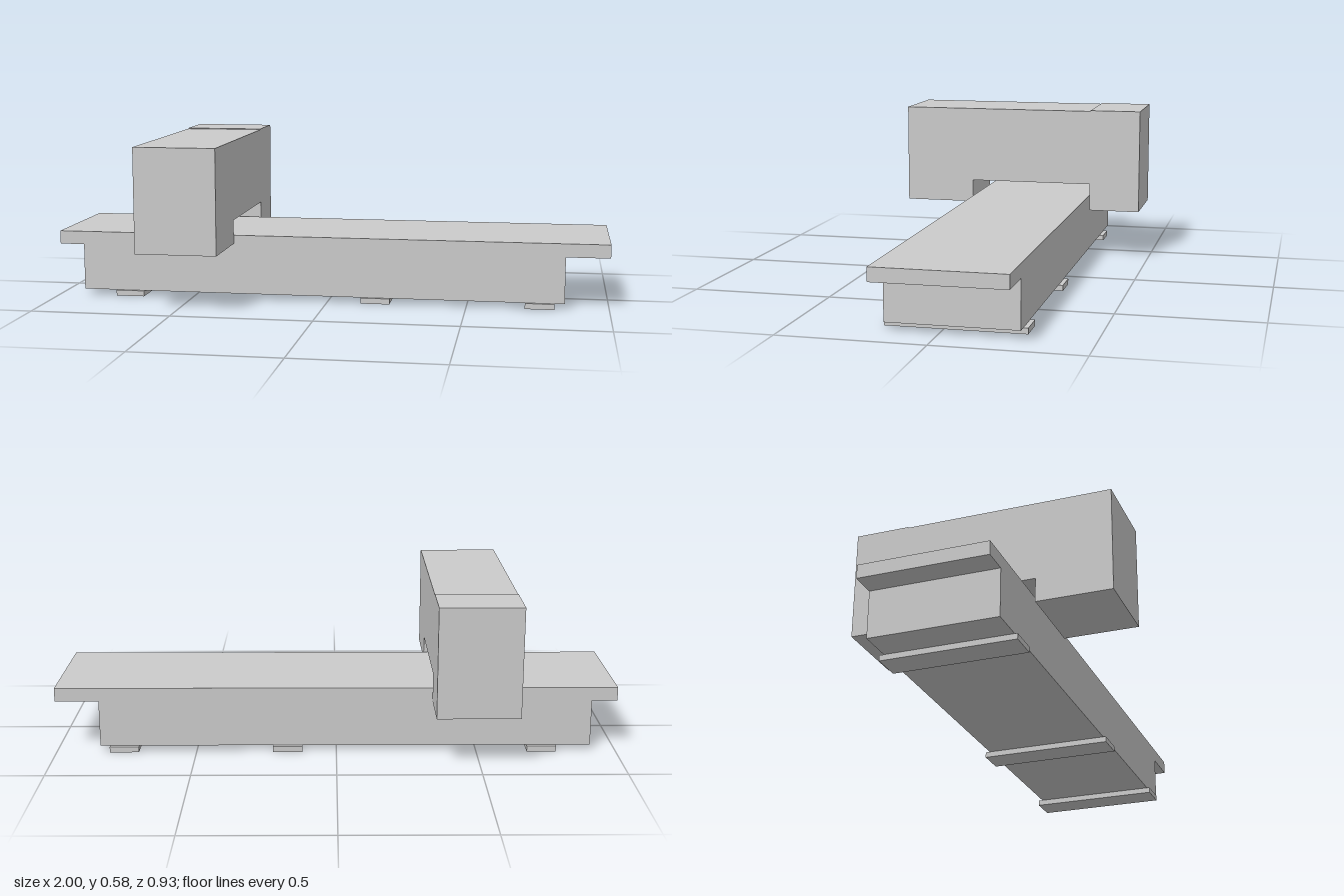
import * as THREE from 'three';

export function createModel() {
  const model = new THREE.Group();
  const material = new THREE.MeshStandardMaterial({ color: 0xcccccc, flatShading: true });

  // Box given by its limits along each axis
  const block = (name, [x0, x1], [y0, y1], [z0, z1]) => {
    const mesh = new THREE.Mesh(new THREE.BoxGeometry(x1 - x0, y1 - y0, z1 - z0), material);
    mesh.position.set((x0 + x1) / 2, (y0 + y1) / 2, (z0 + z1) / 2);
    mesh.name = name;
    model.add(mesh);
  };

  // Bed: overhanging table top on a shorter base
  const bedDepth = [-0.259, 0.189];
  block('tableTop', [-1, 1], [0.187, 0.235], bedDepth);
  block('base', [-0.91, 0.845], [0.02, 0.187], bedDepth);

  // Cross bars under the base
  for (const x of [-0.734, 0.174, 0.758]) {
    block('footBar', [x - 0.052, x + 0.052], [0, 0.02], [-0.275, 0.199]);
  }

  // Gantry: front leg and bridge as one profile (z, y), extruded along x
  const gantryX = [-0.631, -0.341];
  const profile = new THREE.Shape([
    [0.465, 0.206], [0.465, 0.578], [-0.272, 0.578],
    [-0.272, 0.292], [0.199, 0.292], [0.199, 0.206],
  ].map(([z, y]) => new THREE.Vector2(-z, y)));
  const bridge = new THREE.Mesh(
    new THREE.ExtrudeGeometry(profile, { depth: gantryX[1] - gantryX[0], bevelEnabled: false }),
    material
  );
  bridge.rotation.y = Math.PI / 2;
  bridge.position.x = gantryX[0];
  bridge.name = 'gantryBridge';
  model.add(bridge);

  // Slightly taller back leg
  block('gantryBackLeg', gantryX, [0.189, 0.581], [-0.465, -0.272]);

  return model;
}
